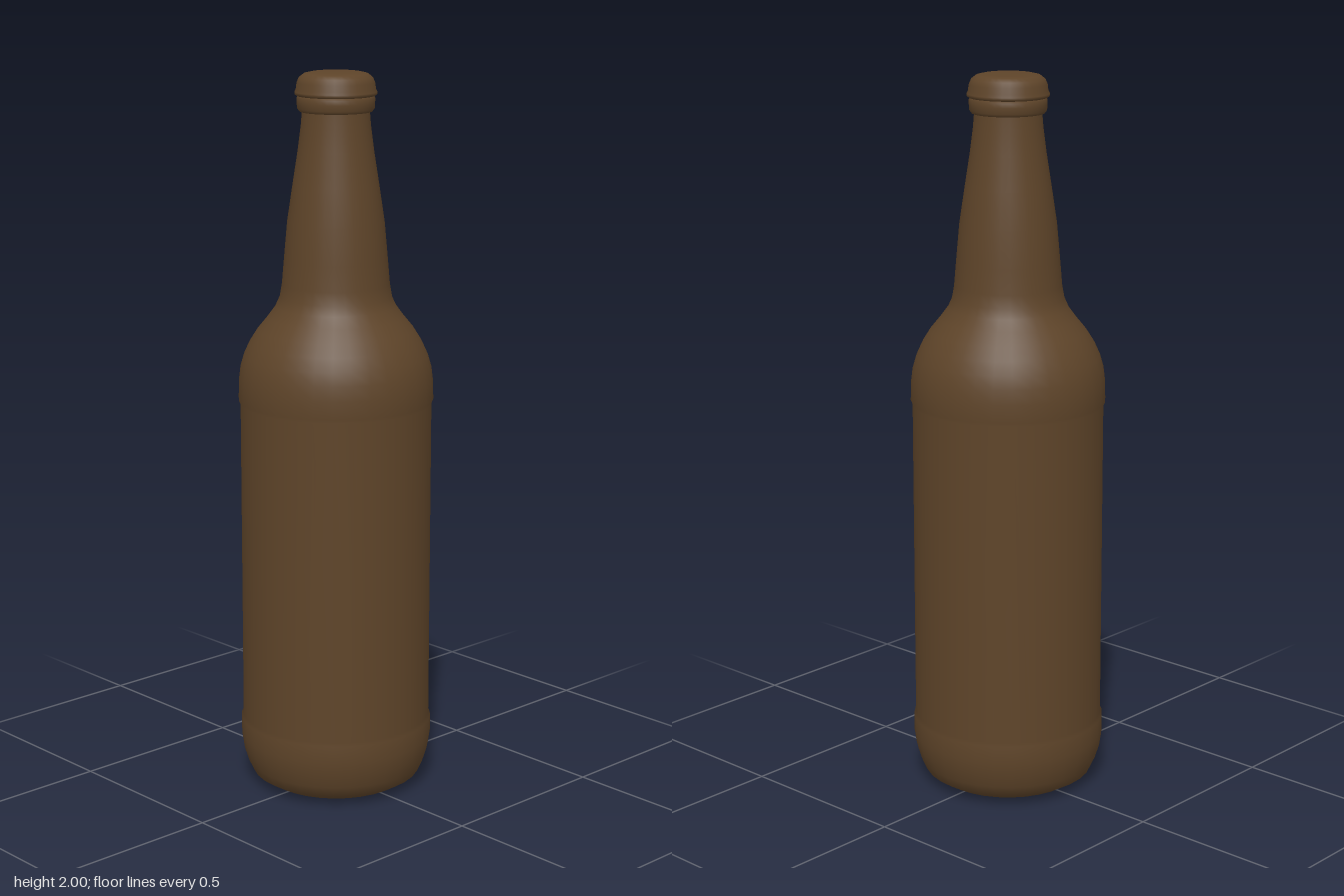
import * as THREE from 'three';

const SIDES = 32;

// Smooth revolved part from [radius, height] pairs listed bottom to top
function turned(name, profile, material) {
  const points = profile.map(([r, y]) => new THREE.Vector2(r, y));
  const mesh = new THREE.Mesh(new THREE.LatheGeometry(points, SIDES), material);
  mesh.name = name;
  return mesh;
}

export function createModel() {
  const group = new THREE.Group();
  group.name = 'bottle';
  const glass = new THREE.MeshStandardMaterial({ color: 0x5e4429 });

  // Rounded base, slightly recessed label band, shoulder and tapered neck
  group.add(turned('bottleBody', [
    [0, 0.005], [0.14, 0.002], [0.16, 0], [0.2, 0.01], [0.236, 0.032], [0.25, 0.062],
    [0.262, 0.1], [0.268, 0.14], [0.268, 0.19], [0.263, 0.2],
    [0.263, 1.1], [0.268, 1.11], [0.267, 1.16], [0.262, 1.2], [0.252, 1.235],
    [0.236, 1.27], [0.214, 1.305], [0.187, 1.338], [0.165, 1.368], [0.153, 1.395],
    [0.147, 1.43], [0.141, 1.5], [0.132, 1.6], [0.117, 1.7], [0.103, 1.79],
    [0.094, 1.86], [0.09, 1.91],
  ], glass));

  // Collar ring under the cap
  group.add(turned('collarRing', [
    [0.088, 1.895], [0.098, 1.896], [0.104, 1.904], [0.105, 1.92],
    [0.105, 1.932], [0.1, 1.94], [0.088, 1.942],
  ], glass));

  // Domed cap with a thin lip at its lower edge
  group.add(turned('cap', [
    [0.085, 1.938], [0.106, 1.938], [0.111, 1.942], [0.111, 1.948], [0.107, 1.956],
    [0.105, 1.972], [0.099, 1.986], [0.086, 1.996], [0.068, 2], [0, 2],
  ], glass));

  return group;
}
